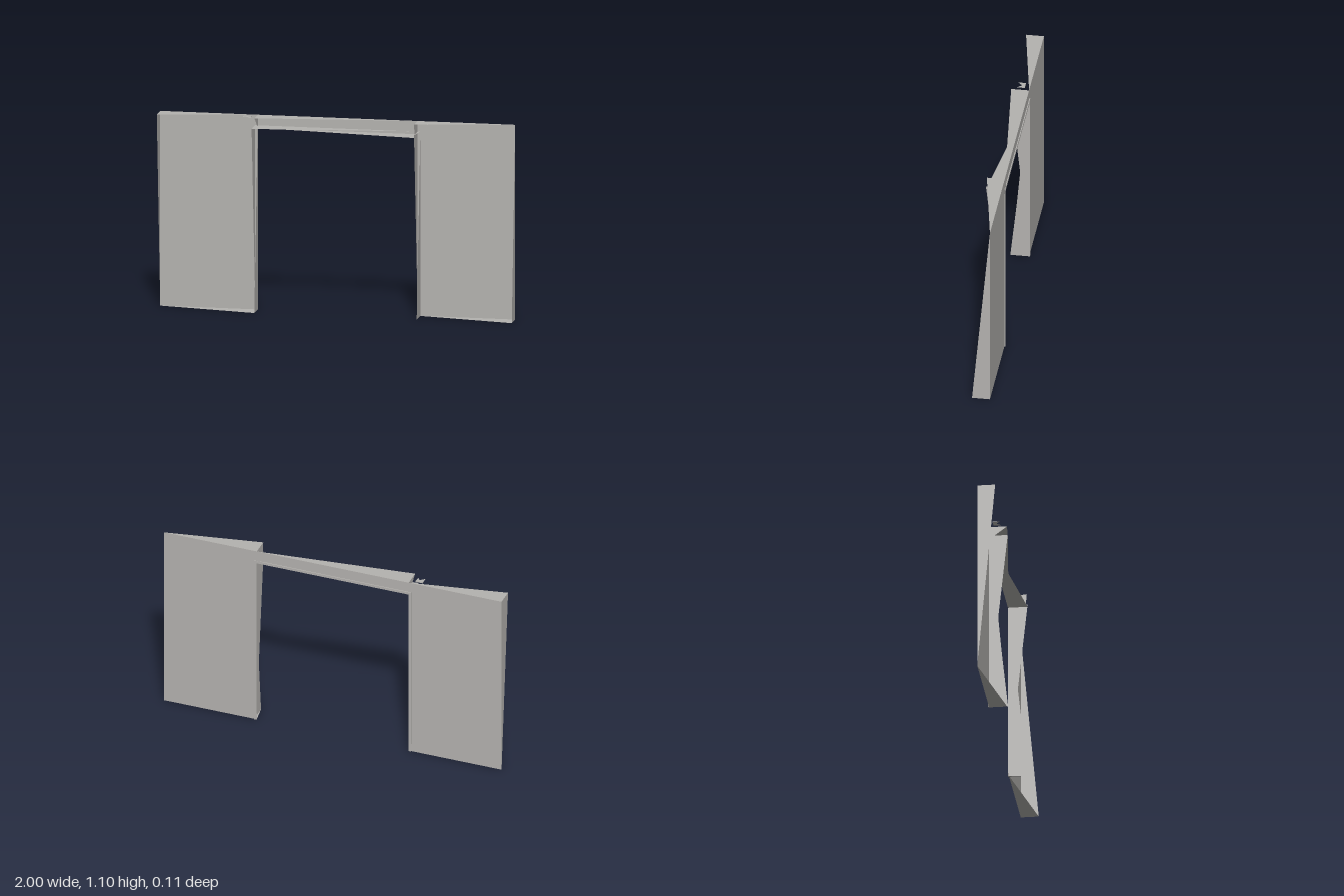
import * as THREE from 'three';

const grey = new THREE.MeshStandardMaterial({ color: 0xb4b2af, side: THREE.DoubleSide });
grey.name = 'wall grey';

// Open box: a whole back, no front, and one triangle on each of the other sides.
function openBox(name, [x0, x1], [y0, y1], depth) {
  const f = depth / 2, b = -f;
  const triangles = [
    [[x0, y0, b], [x0, y1, b], [x1, y1, b]], // back
    [[x0, y0, b], [x1, y1, b], [x1, y0, b]],
    [[x0, y1, f], [x1, y1, b], [x0, y1, b]], // top
    [[x0, y0, b], [x1, y0, b], [x1, y0, f]], // bottom
    [[x0, y1, f], [x0, y1, b], [x0, y0, b]], // -x side
    [[x1, y1, b], [x1, y0, f], [x1, y0, b]], // +x side
  ];
  const geometry = new THREE.BufferGeometry();
  geometry.setAttribute('position', new THREE.Float32BufferAttribute(triangles.flat(2), 3));
  geometry.computeVertexNormals();
  const mesh = new THREE.Mesh(geometry, grey);
  mesh.name = name;
  return mesh;
}

export function createModel() {
  const group = new THREE.Group();
  group.name = 'doorwayWall';
  const height = 1.1, opening = 0.45, head = 1.025, trim = 0.015;
  const wallDepth = 0.1, trimDepth = 0.11;

  // Wall either side of the doorway and above it
  group.add(
    openBox('rightWallPanel', [-1, -opening], [0, height], wallDepth),
    openBox('leftWallPanel', [opening, 1], [0, height], wallDepth),
    openBox('lintel', [-opening, opening], [head, height], wallDepth),
  );

  // Slightly deeper door frame
  group.add(
    openBox('rightJamb', [-opening - trim, -opening], [0, head + trim], trimDepth),
    openBox('leftJamb', [opening, opening + trim], [0, head + trim], trimDepth),
    openBox('frameHead', [-opening - trim, opening], [head, head + trim], trimDepth),
  );

  // Small plates set into the top edge
  for (const [name, x] of [['rightTopPlate', -0.5], ['leftTopPlate', 0.5]]) {
    group.add(openBox(name, [x - 0.022, x + 0.022], [height - 0.005, height - 0.001], 0.044));
  }
  return group;
}
